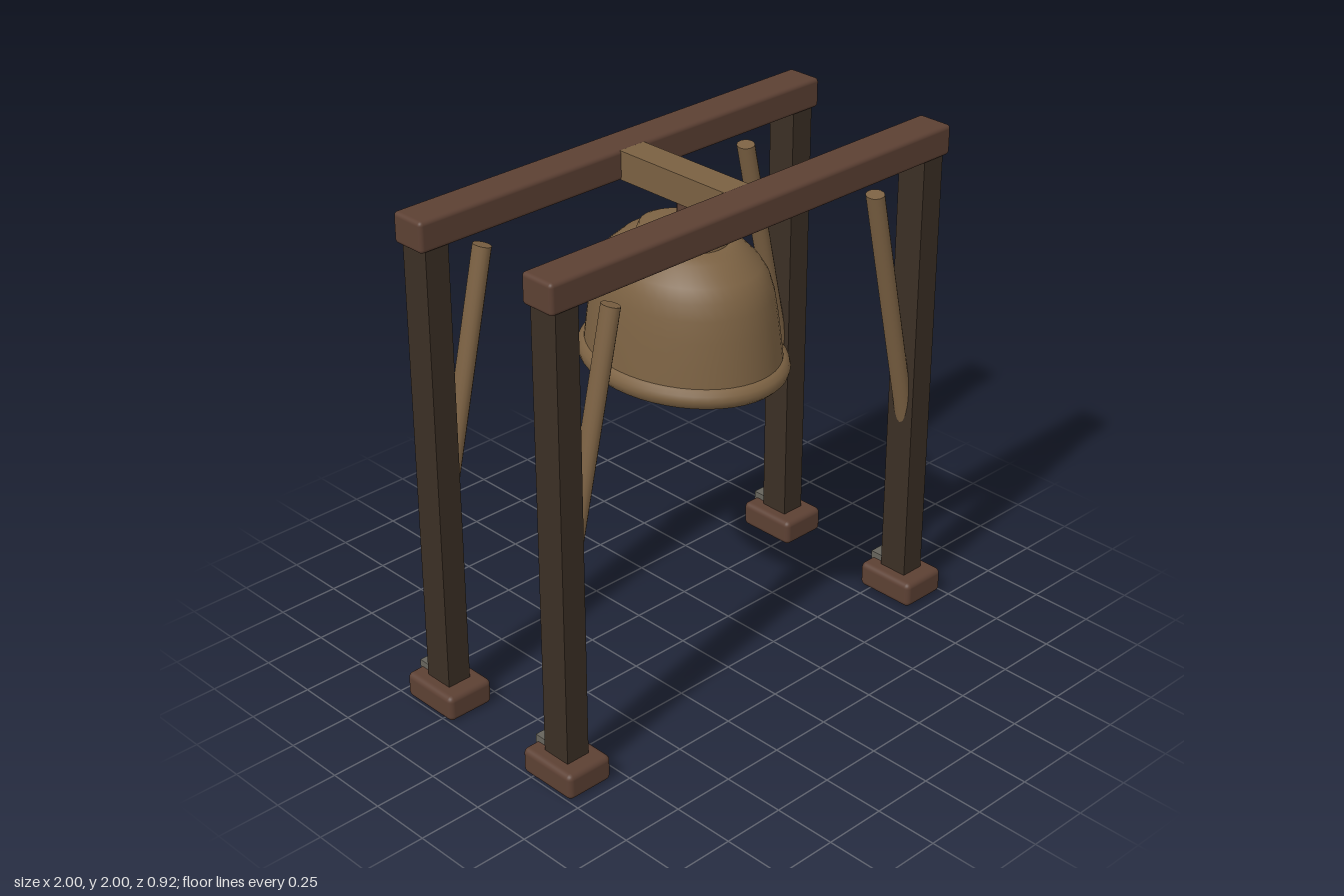
import * as THREE from 'three';
import { RoundedBoxGeometry } from 'three/addons/geometries/RoundedBoxGeometry.js';

const DEPTH = 1.26; // round parts are wider in z than in x

function material(name, color, side = THREE.FrontSide) {
  const m = new THREE.MeshStandardMaterial({ color, side });
  m.name = name;
  return m;
}

export function createModel() {
  const model = new THREE.Group();
  model.name = 'bellFrame';
  const redWood = material('red brown wood', 0x5c4033);
  const darkWood = material('dark post wood', 0x3b2f24);
  const lightWood = material('light wood', 0x7a6042);
  const bronze = material('bronze', 0x7c6243, THREE.DoubleSide);
  const iron = material('grey iron', 0x66645c);
  const darkIron = material('dark iron', 0x3c3630);

  function add(parent, name, geometry, mat, x = 0, y = 0, z = 0) {
    const mesh = new THREE.Mesh(geometry, mat);
    mesh.name = name;
    mesh.position.set(x, y, z);
    parent.add(mesh);
    return mesh;
  }

  // Four legs, each with foot, iron wedge and leaning brace
  const footGeo = new RoundedBoxGeometry(0.2, 0.105, 0.257, 3, 0.022);
  const postGeo = new THREE.BoxGeometry(0.1, 1.82, 0.122);
  const wedgeGeo = new THREE.BoxGeometry(0.066, 0.035, 0.13);
  const braceTop = new THREE.Vector2(0.652, 1.797);
  const braceFoot = new THREE.Vector2(0.895, 0.71);
  const braceRun = braceTop.clone().sub(braceFoot);
  const braceGeo = new THREE.CylinderGeometry(0.031, 0.031, braceRun.length(), 16);
  for (const sz of [1, -1]) {
    for (const sx of [1, -1]) {
      const leg = new THREE.Group();
      leg.name = (sz > 0 ? 'front' : 'back') + (sx > 0 ? 'Left' : 'Right') + 'Leg';
      leg.position.z = sz * 0.33;
      add(leg, 'foot', footGeo, redWood, sx * 0.898, 0.0525, 0);
      add(leg, 'post', postGeo, darkWood, sx * 0.898, 0.99, 0);
      add(leg, 'wedge', wedgeGeo, iron, sx * 0.898, 0.1125, -0.063);
      const brace = add(leg, 'brace', braceGeo, lightWood,
        sx * (braceTop.x + braceFoot.x) / 2, (braceTop.y + braceFoot.y) / 2, 0);
      brace.rotation.z = sx * Math.atan2(-braceRun.x, braceRun.y);
      brace.scale.z = DEPTH;
      model.add(leg);
    }
    // Long top beam
    add(model, sz > 0 ? 'frontBeam' : 'backBeam',
      new RoundedBoxGeometry(1.95, 0.118, 0.148, 3, 0.016), redWood, 0, 1.941, sz * 0.33);
  }

  // Cross beam carrying the bell
  add(model, 'crossBeam', new THREE.BoxGeometry(0.118, 0.112, 0.55), lightWood, 0, 1.941, 0);

  // Bell and its fittings
  const bell = new THREE.Group();
  bell.name = 'bell';
  bell.scale.z = DEPTH;
  model.add(bell);

  // Body, with an underside ring open in the middle
  const points = (list) => list.map(([r, y]) => new THREE.Vector2(r, y));
  add(bell, 'bellUnderside', new THREE.RingGeometry(0.115, 0.3, 48).rotateX(Math.PI / 2),
    bronze, 0, 1.232, 0);
  add(bell, 'bellBody', new THREE.LatheGeometry(points([
    [0.325, 1.25], [0.32, 1.31], [0.312, 1.39], [0.303, 1.47], [0.291, 1.55],
    [0.275, 1.61], [0.25, 1.655], [0.195, 1.715], [0.15, 1.737], [0, 1.737],
  ]), 48), bronze);
  add(bell, 'bellRim', new THREE.TorusGeometry(0.3, 0.045, 14, 48).rotateX(Math.PI / 2),
    bronze, 0, 1.265, 0);
  add(bell, 'bellCollar', new THREE.LatheGeometry(points([
    [0.148, 1.73], [0.146, 1.752], [0.138, 1.77], [0.12, 1.78], [0, 1.78],
  ]), 40), bronze);

  // Axle
  add(bell, 'axle', new THREE.CylinderGeometry(0.038, 0.038, 0.572, 20).rotateZ(Math.PI / 2),
    iron, 0, 1.779, 0);

  // Hanger under the cross beam
  add(bell, 'hangerRod', new THREE.CylinderGeometry(0.02, 0.02, 0.13, 12), redWood, 0, 1.825, 0);
  add(bell, 'hangerKnob', new THREE.CylinderGeometry(0.029, 0.02, 0.03, 12), redWood, 0, 1.871, 0);

  // Clapper
  add(bell, 'clapperRod', new THREE.CylinderGeometry(0.014, 0.014, 0.52, 10), darkIron, 0, 1.47, 0);
  add(bell, 'clapperBall', new THREE.SphereGeometry(0.047, 20, 14), darkIron, 0, 1.195, 0);

  return model;
}
